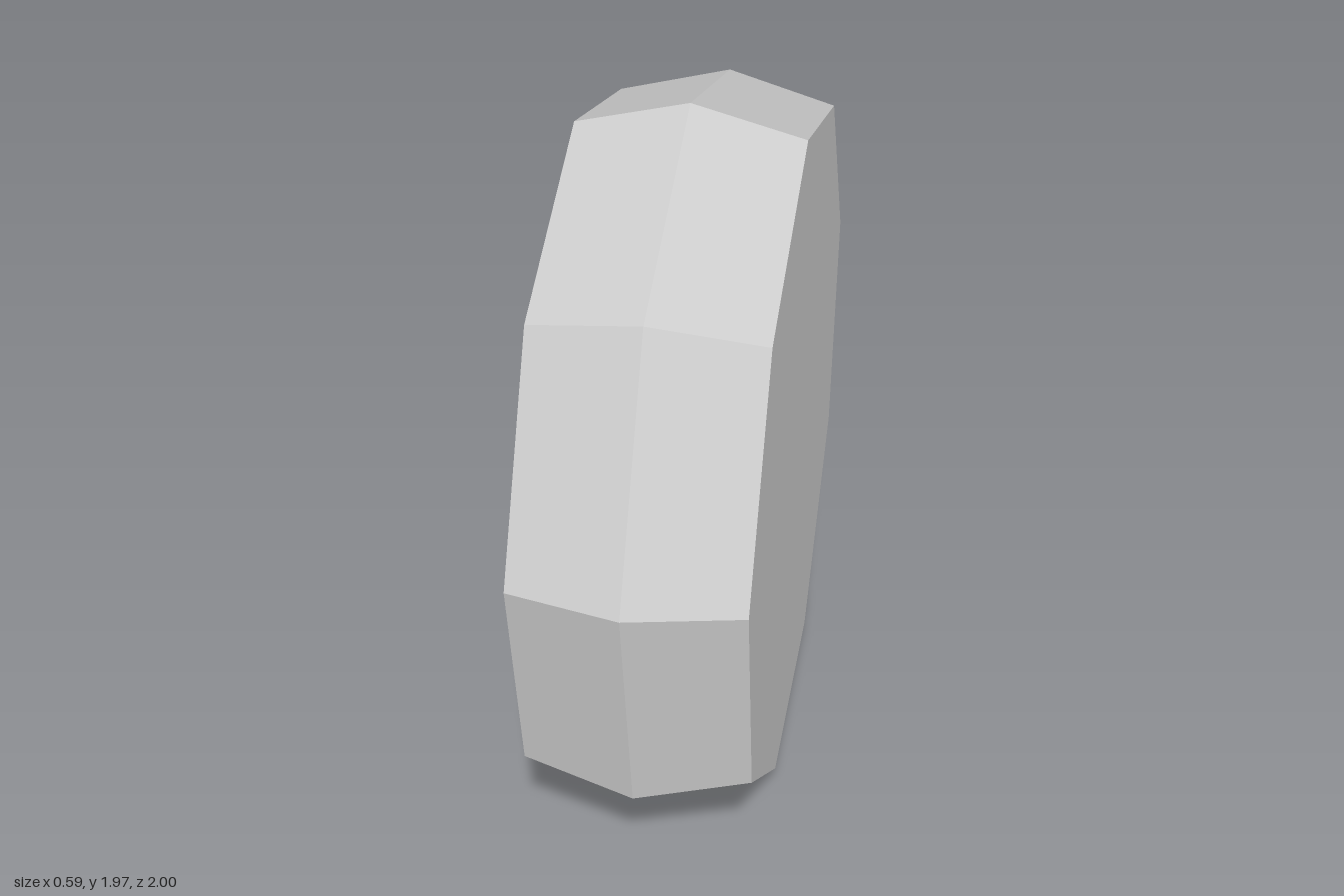
import * as THREE from 'three';

const SIDES = 9;
const RIM = 1 / Math.sin(THREE.MathUtils.degToRad(80)); // crown radius giving a 2 unit width
const FACE = 0.938;   // radius of the flat side faces
const HALF = 0.295;   // half the width of the wheel

export function createModel() {
  const group = new THREE.Group();
  group.name = 'wheel';

  // Profile from the plain face, over the ridged tread, to the dished face
  const profile = [
    [0, -HALF],
    [FACE, -HALF],
    [RIM, 0],
    [FACE, HALF],
    [0.45, HALF],          // edge of the hub recess
    [0.303, HALF - 0.055], // floor of the hub recess
    [0, HALF - 0.055],
  ].map(([r, y]) => new THREE.Vector2(r, y));

  // Lay the axle along x, dished face towards -x, one corner pointing up
  const geometry = new THREE.LatheGeometry(profile, SIDES, Math.PI / 2).toNonIndexed();
  geometry.rotateZ(Math.PI / 2);
  geometry.computeVertexNormals();

  const tire = new THREE.Mesh(
    geometry,
    new THREE.MeshStandardMaterial({ color: 0xcccccc, flatShading: true })
  );
  tire.name = 'tire';
  tire.position.y = RIM * Math.cos(Math.PI / SIDES); // rests on its bottom flat
  group.add(tire);

  return group;
}
